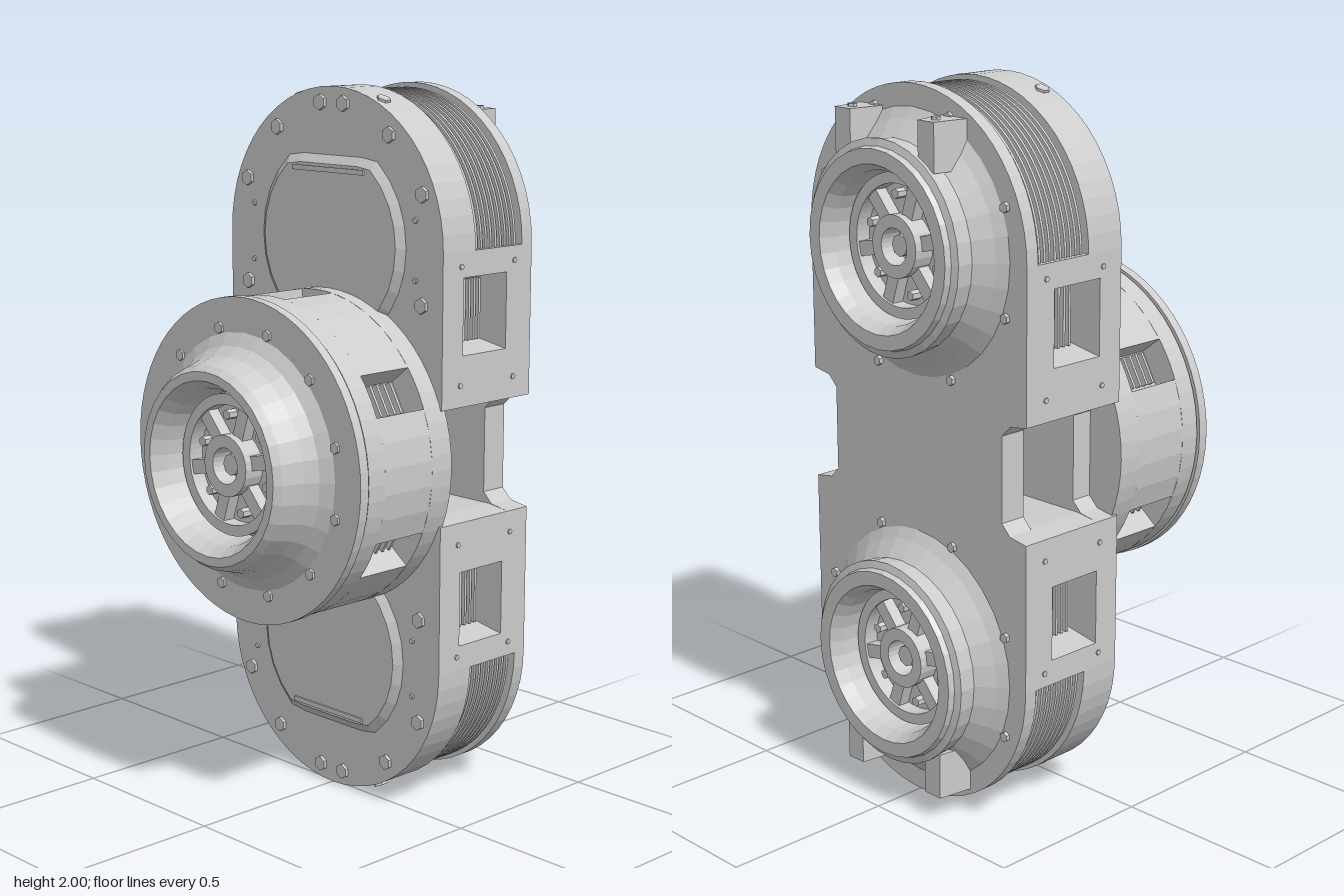
import * as THREE from 'three';

const R = 0.42, C = 0.58; // end radius, distance of each end centre from the middle
const mat = new THREE.MeshStandardMaterial({ color: 0xcccccc, flatShading: true, side: THREE.DoubleSide });

function add(parent, name, geo, x = 0, y = 0, z = 0) {
  const m = new THREE.Mesh(geo, mat);
  m.name = name;
  m.position.set(x, y, z);
  parent.add(m);
  return m;
}

function slab(parent, name, shape, z0, z1, curveSegments = 32) {
  const geo = new THREE.ExtrudeGeometry(shape, { depth: z1 - z0, bevelEnabled: false, curveSegments });
  return add(parent, name, geo, 0, 0, z0);
}

// Cylinder lying along z, with its base at z
function bolt(parent, name, r, h, x, y, z, sides = 6) {
  return add(parent, name, new THREE.CylinderGeometry(r, r, h, sides).rotateX(Math.PI / 2), x, y, z + h / 2);
}

// Upper half of the housing outline at one depth
function halfOutline({ tunnel, window, radius = R }) {
  const right = tunnel
    ? [[0.35, 0.15], [R, 0.16]]
    : [[0.33, 0], [0.33, 0.12], [0.36, 0.15], [R, 0.16]];
  if (window) right.push([R, 0.3], [0.31, 0.32], [0.31, 0.49], [R, 0.51]);
  right.push([R, C]);
  const pts = right.map(([x, y]) => new THREE.Vector2(x, y));
  for (let i = 0; i <= 28; i++) {
    const a = (i / 28) * Math.PI;
    pts.push(new THREE.Vector2(radius * Math.cos(a), C + radius * Math.sin(a)));
  }
  right.reverse().forEach(([x, y]) => pts.push(new THREE.Vector2(-x, y)));
  return new THREE.Shape(pts);
}

function ringShape(outer, inner) {
  const s = new THREE.Shape().absarc(0, 0, outer, 0, Math.PI * 2);
  s.holes.push(new THREE.Path().absarc(0, 0, inner, 0, Math.PI * 2, true));
  return s;
}

// Flared nose with a deep socket and spoked rotor inside
function rotorNose(name, profile) {
  const g = new THREE.Group();
  g.name = name;
  const pts = profile.map(([r, h]) => new THREE.Vector2(r, h));
  add(g, 'noseShell', new THREE.LatheGeometry(pts, 32).rotateX(Math.PI / 2));
  slab(g, 'rotorRim', ringShape(0.195, 0.165), 0.01, 0.055);
  slab(g, 'rotorHub', ringShape(0.085, 0.05), 0.01, 0.07, 12);
  bolt(g, 'shaft', 0.03, 0.04, 0, 0, 0.01, 8);
  for (let i = 0; i < 6; i++) {
    const a = (i * Math.PI) / 3 + 0.2;
    const spoke = add(g, 'spoke', new THREE.BoxGeometry(0.1, 0.04, 0.035),
      0.125 * Math.cos(a), 0.125 * Math.sin(a), 0.03);
    spoke.rotation.z = a;
    const b = a + Math.PI / 6;
    bolt(g, 'rotorBolt', 0.014, 0.03, 0.135 * Math.cos(b), 0.135 * Math.sin(b), 0.01);
  }
  return g;
}

function endModule() {
  const g = new THREE.Group();
  g.name = 'endModule';

  // Housing in depth layers: tunnel, side windows and fin recess
  slab(g, 'frontPlate', halfOutline({}), -0.07, 0.01);
  slab(g, 'frontRim', halfOutline({ tunnel: true, window: true }), -0.115, -0.07);
  slab(g, 'windowFrame', halfOutline({ tunnel: true, window: true, radius: 0.385 }), -0.24, -0.115);
  slab(g, 'rearFrame', halfOutline({ tunnel: true, radius: 0.385 }), -0.26, -0.24);
  slab(g, 'rearInnerPlate', halfOutline({ radius: 0.385 }), -0.3, -0.26);
  slab(g, 'backPlate', halfOutline({}), -0.34, -0.3);

  // Cooling fins wrapped round the end
  const fin = new THREE.Shape().absarc(0, C, 0.408, 0, Math.PI).absarc(0, C, 0.37, Math.PI, 0, true);
  for (let i = 0; i < 9; i++) slab(g, 'coolingFin', fin, -0.287 + i * 0.019, -0.279 + i * 0.019, 28);

  for (const s of [-1, 1]) {
    // Grille and screws at the side window
    for (let i = 0; i < 7; i++)
      add(g, 'windowGrille', new THREE.BoxGeometry(0.03, 0.17, 0.008), s * 0.325, 0.405, -0.1 - i * 0.02);
    for (const [y, z] of [[0.22, -0.06], [0.22, -0.27], [0.54, -0.06], [0.54, -0.27]])
      add(g, 'sideScrew', new THREE.CylinderGeometry(0.008, 0.008, 0.008, 6).rotateZ(Math.PI / 2), s * R, y, z);
    // Face bolts
    for (const [x, y] of [[0.045, 0.955], [0.22, 0.88], [0.345, 0.73], [0.345, 0.435]])
      bolt(g, 'faceBolt', 0.022, 0.012, s * x, y, 0.008);
    for (const [x, y] of [[0.32, 0.66], [0.32, 0.5]])
      bolt(g, 'facePin', 0.008, 0.008, s * x, y, 0.008);
    const top = add(g, 'rimBolt', new THREE.CylinderGeometry(0.02, 0.02, 0.02, 6), s * 0.16, C + 0.385, -0.025);
    top.rotation.z = -s * 0.39;
  }

  // Round lid with flattened top and bottom
  const lidPts = [];
  for (let i = 0; i < 28; i++) {
    const a = (i / 28) * Math.PI * 2;
    lidPts.push(new THREE.Vector2(0.26 * Math.cos(a), C + THREE.MathUtils.clamp(0.26 * Math.sin(a), -0.21, 0.21)));
  }
  add(g, 'frontLid', new THREE.ExtrudeGeometry(new THREE.Shape(lidPts),
    { depth: 0.002, bevelThickness: 0.018, bevelSize: 0.025, bevelSegments: 1 }), 0, 0, 0.007);
  for (const s of [-1, 1])
    add(g, 'lidBar', new THREE.BoxGeometry(0.28, 0.014, 0.012), 0, C + s * 0.195, 0.026);

  // Rear nose, facing backwards
  const nose = rotorNose('rearNose', [[0.36, 0], [0.33, 0.02], [0.285, 0.06], [0.29, 0.112], [0.27, 0.118],
    [0.265, 0.135], [0.225, 0.135], [0.205, 0.1], [0.2, 0.01], [0, 0.01]]);
  nose.position.set(0, C, -0.34);
  nose.rotation.y = Math.PI;
  g.add(nose);
  for (const s of [-1, 1]) {
    // Tapered lugs on the outer side of the nose
    const lug = new THREE.Shape([[-0.045, 0], [0.045, 0], [0.03, 0.1], [-0.03, 0.1]].map(p => new THREE.Vector2(...p)));
    const geo = new THREE.ExtrudeGeometry(lug, { depth: 0.13, bevelEnabled: false });
    geo.rotateX(-Math.PI / 2).rotateY(Math.PI).rotateX(-Math.PI / 2).rotateY(Math.PI);
    geo.center();
    geo.computeBoundingBox();
    const size = geo.boundingBox.getSize(new THREE.Vector3());
    if (size.y < size.z) geo.rotateX(Math.PI / 2);
    // Wide foot against the back plate, narrow at the tip
    const p = geo.attributes.position;
    for (let i = 0; i < p.count; i++) p.setX(i, Math.sign(p.getX(i)) * (p.getZ(i) > 0 ? 0.045 : 0.03));
    add(g, 'noseLug', geo, s * 0.16, C + 0.285, -0.39);
    add(g, 'lugBolt', new THREE.CylinderGeometry(0.013, 0.013, 0.012, 6), s * 0.16, C + 0.352, -0.405);
  }
  for (let i = 0; i < 8; i++) {
    const a = ((i + 0.5) * Math.PI) / 4;
    bolt(g, 'backBolt', 0.014, 0.012, 0.375 * Math.cos(a), C + 0.375 * Math.sin(a), -0.351);
  }
  return g;
}

function centreHub() {
  const g = new THREE.Group();
  g.name = 'centreHub';
  const disc = new THREE.Shape().absarc(0, 0, 0.445, 0, Math.PI * 2);
  slab(g, 'hubBase', disc, -0.005, 0.07);
  // Six pockets round the rim
  const pts = [];
  for (let k = 0; k < 6; k++) {
    const a = Math.PI / 6 + (k * Math.PI) / 3, w = 0.135;
    const polar = (r, t) => pts.push(new THREE.Vector2(r * Math.cos(t), r * Math.sin(t)));
    polar(0.37, a - w);
    polar(0.37, a + w);
    for (let i = 0; i <= 5; i++) polar(0.445, a + w + (i / 5) * (Math.PI / 3 - 2 * w));
  }
  slab(g, 'pocketedWall', new THREE.Shape(pts), 0.07, 0.245);
  for (let k = 0; k < 6; k++) {
    const a = Math.PI / 6 + (k * Math.PI) / 3;
    for (let i = 0; i < 6; i++) {
      const bar = add(g, 'pocketGrille', new THREE.BoxGeometry(0.02, 0.09, 0.008),
        0.375 * Math.cos(a), 0.375 * Math.sin(a), 0.095 + i * 0.025);
      bar.rotation.z = a;
    }
  }
  slab(g, 'hubFront', disc, 0.245, 0.305);
  slab(g, 'hubGroove', new THREE.Shape().absarc(0, 0, 0.435, 0, Math.PI * 2), 0.305, 0.311);
  slab(g, 'hubFlange', new THREE.Shape().absarc(0, 0, 0.45, 0, Math.PI * 2), 0.311, 0.34);
  for (let i = 0; i < 12; i++) {
    const a = ((i + 0.5) * Math.PI) / 6;
    bolt(g, 'flangeBolt', 0.016, 0.01, 0.37 * Math.cos(a), 0.37 * Math.sin(a), 0.337);
  }
  const nose = rotorNose('frontNose', [[0.355, 0], [0.32, 0.022], [0.297, 0.055], [0.28, 0.115], [0.265, 0.135],
    [0.24, 0.135], [0.215, 0.095], [0.2, 0.01], [0, 0.01]]);
  nose.position.z = 0.34;
  g.add(nose);
  return g;
}

export function createModel() {
  const model = new THREE.Group();
  model.name = 'twinRotorHousing';
  for (const turn of [0, Math.PI]) {
    const m = endModule();
    m.rotation.z = turn;
    m.position.y = 1;
    model.add(m);
  }
  const hub = centreHub();
  hub.position.y = 1.005;
  model.add(hub);
  return model;
}
